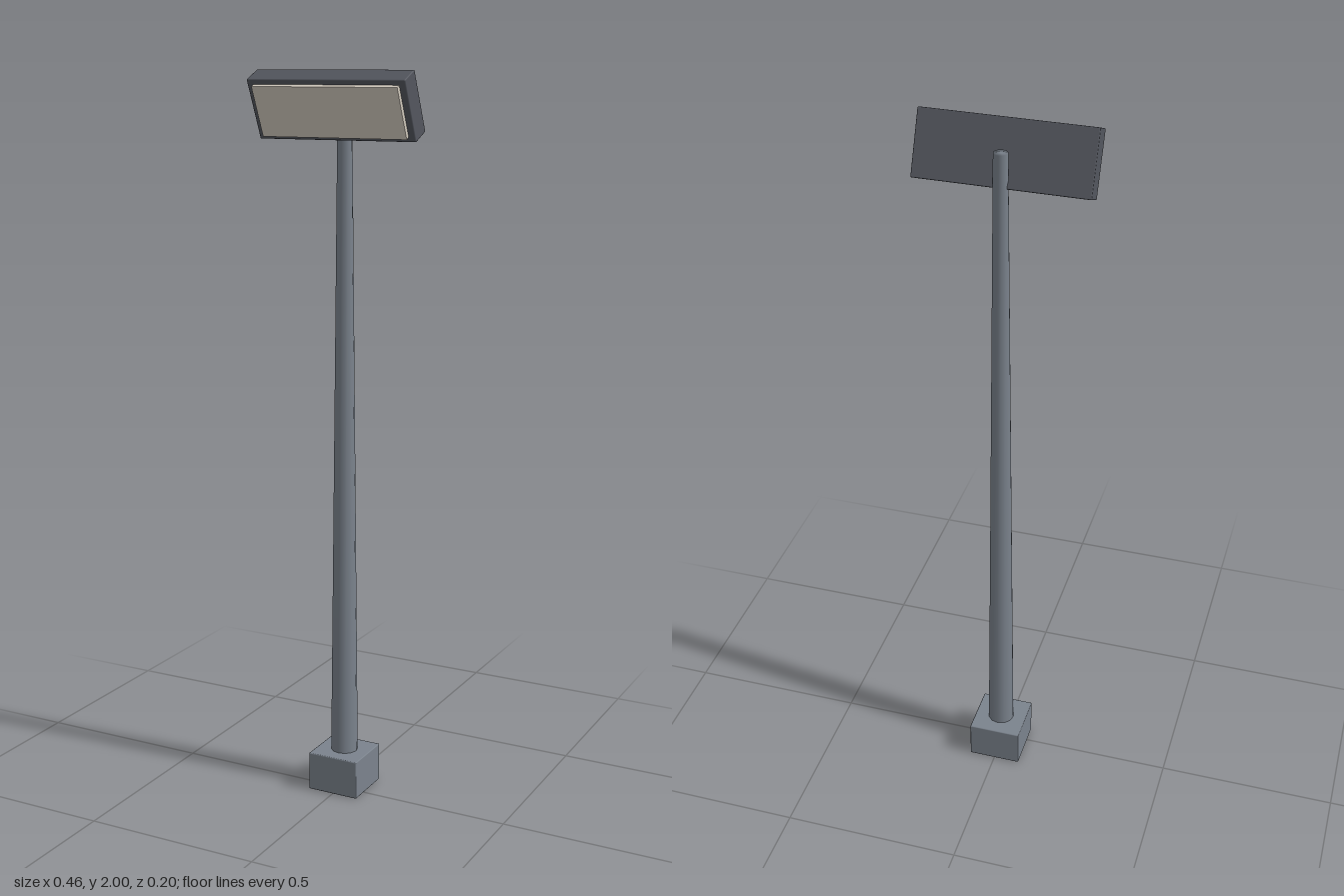
import * as THREE from 'three';
import { mergeVertices } from 'three/addons/utils/BufferGeometryUtils.js';
import { RoundedBoxGeometry } from 'three/addons/geometries/RoundedBoxGeometry.js';

function material(name, color) {
  const m = new THREE.MeshStandardMaterial({ color });
  m.name = name;
  return m;
}

function part(name, geometry, mat, x, y, z) {
  const mesh = new THREE.Mesh(geometry, mat);
  mesh.name = name;
  mesh.position.set(x, y, z);
  return mesh;
}

// Closed tapered cylinder whose normals run smoothly over the rims
function smoothPole(top, bottom, height, sides) {
  const g = new THREE.CylinderGeometry(top, bottom, height, sides);
  g.deleteAttribute('normal');
  g.deleteAttribute('uv');
  const merged = mergeVertices(g, 1e-4);
  merged.computeVertexNormals();
  return merged;
}

export function createModel() {
  const steel = material('grey steel', 0x7b838d);
  const casing = material('dark casing', 0x53565e);
  const glass = material('pale lamp glass', 0xd2cabe);
  const model = new THREE.Group();
  model.name = 'floodlight';
  const poleZ = -0.025;

  // Footing block and tapered mast
  model.add(part('base', new RoundedBoxGeometry(0.15, 0.11, 0.15, 1, 0.003), steel, 0, 0.055, poleZ));
  const bottom = 0.1, top = 1.935;
  model.add(part('pole', smoothPole(0.019, 0.038, top - bottom, 12), steel, 0, (top + bottom) / 2, poleZ));

  // Lamp head, tilted down towards the front
  const head = new THREE.Group();
  head.name = 'lampHead';
  head.position.set(0, 1.911, 0.029);
  head.rotation.x = 0.425;
  head.add(part('housing', new RoundedBoxGeometry(0.455, 0.17, 0.062, 1, 0.003), casing, 0, 0, 0));
  head.add(part('lampPanel', new THREE.BoxGeometry(0.418, 0.142, 0.02), glass, 0, 0, 0.034));
  model.add(head);

  return model;
}
